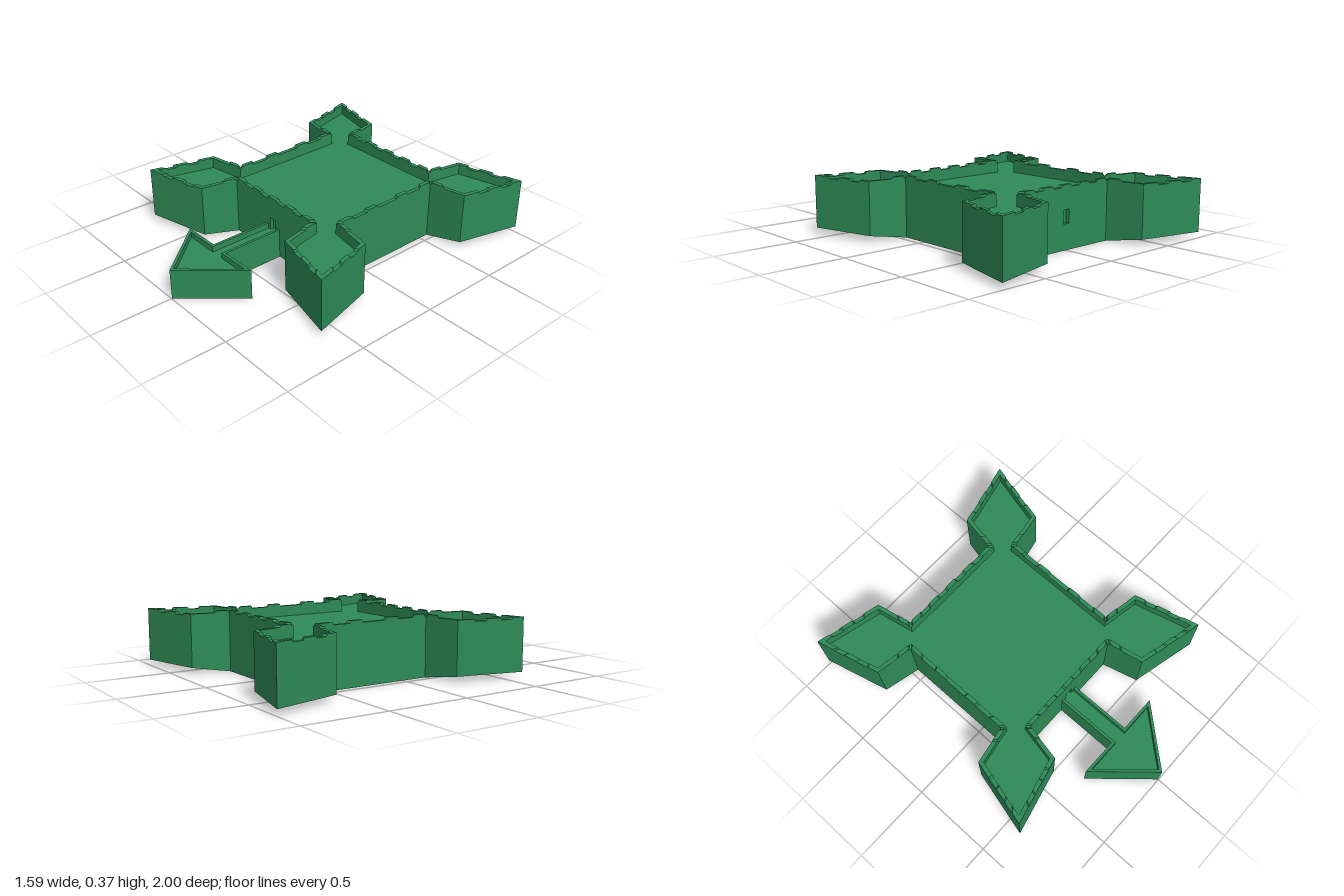
import * as THREE from 'three';

const material = new THREE.MeshStandardMaterial({ color: 0x2e8b57, flatShading: true });
const FORT_Z = -0.2, WALL_TOP = 0.355, FLOOR = 0.29, THICK = 0.025, LIFT = 0.037;

function add(group, name, geometry) {
  const mesh = new THREE.Mesh(geometry, material);
  mesh.name = name;
  group.add(mesh);
  return mesh;
}

// Moves a plan outline of [x, z] points inward with mitred corners
function inset(points, t) {
  const n = points.length;
  const normal = (a, b) => {
    const dx = b[0] - a[0], dz = b[1] - a[1], l = Math.hypot(dx, dz);
    return [-dz / l, dx / l];
  };
  return points.map((p, i) => {
    const a = normal(points[(i + n - 1) % n], p);
    const b = normal(p, points[(i + 1) % n]);
    const k = t / (1 + a[0] * b[0] + a[1] * b[1]);
    return [p[0] + (a[0] + b[0]) * k, p[1] + (a[1] + b[1]) * k];
  });
}

// Wall panel: an elevation drawn over 0..1 along the edge, bent between outer and inner lines.
// Each tooth is [centre, width, height]; a negative height makes a notch.
function wallPanel(a, b, innerA, innerB, y0, y1, top, teeth = [], door = null) {
  const s = new THREE.Shape();
  s.moveTo(0, y0);
  s.lineTo(1, y1);
  s.lineTo(1, top);
  for (const [c, w, h] of [...teeth].sort((p, q) => q[0] - p[0])) {
    s.lineTo(c + w / 2, top);
    s.lineTo(c + w * 0.4, top + h);
    s.lineTo(c - w * 0.4, top + h);
    s.lineTo(c - w / 2, top);
  }
  s.lineTo(0, top);
  if (door) {
    const [w, low, high] = door;
    const hole = new THREE.Path();
    hole.moveTo(0.5 - w / 2, low);
    hole.lineTo(0.5 - w / 2, high);
    hole.lineTo(0.5 + w / 2, high);
    hole.lineTo(0.5 + w / 2, low);
    s.holes.push(hole);
  }
  const g = new THREE.ExtrudeGeometry(s, { depth: 1, bevelEnabled: false });
  const p = g.attributes.position;
  const mix = THREE.MathUtils.lerp;
  for (let i = 0; i < p.count; i++) {
    const u = p.getX(i), d = p.getZ(i);
    p.setXYZ(i, mix(mix(a[0], b[0], u), mix(innerA[0], innerB[0], u), d), p.getY(i),
      mix(mix(a[1], b[1], u), mix(innerA[1], innerB[1], u), d));
  }
  g.computeVertexNormals();
  return g;
}

// Flat plan surface facing up or down
function slab(points, y, up) {
  const s = new THREE.Shape(points.map(([x, z]) => new THREE.Vector2(x, up ? -z : z)));
  return new THREE.ShapeGeometry(s).rotateX(up ? -Math.PI / 2 : Math.PI / 2).translate(0, y, 0);
}

function buildFort() {
  const fort = new THREE.Group();
  fort.name = 'fort';
  fort.position.z = FORT_Z;

  // Star outline: one bastion, mirrored and then turned half round
  const bastion = [[0.46, 0.36], [0.69, 0.4], [0.793, 0.803], [0.385, 0.705], [0.34, 0.48]];
  const half = [...bastion, ...bastion.map(([x, z]) => [-x, z]).reverse()];
  const outer = [...half, ...half.map(([x, z]) => [-x, -z])];
  const inner = inset(outer, THICK);
  const n = outer.length;
  const baseY = (i) => (i % 5 === 0 || i % 5 === 4 ? 0 : LIFT);

  // Tooth patterns for the different walls
  const frontTeeth = [-0.29, -0.145, 0, 0.145, 0.29].map((x) => [0.5 + x / 0.68, 0.085 / 0.68, 0.014]);
  const sideTeeth = [-0.118, 0.118, -0.31, 0.31].map((x) => [0.5 + x / 0.72, 0.092 / 0.72, 0.014]);
  const faceTeeth = [[0.26, 0.2, -0.012], [0.65, 0.2, -0.012]];
  const door = [0.046 / 0.68, 0.15, 0.23];

  for (let i = 0; i < n; i++) {
    const j = (i + 1) % n, k = i % 10;
    let name = 'bastionFlank', teeth = [[k % 5 === 0 ? 0.22 : 0.78, 0.36, 0.011]];
    if (k === 4) [name, teeth] = ['gateCurtainWall', frontTeeth];
    else if (k === 9) [name, teeth] = ['sideCurtainWall', sideTeeth];
    else if (k % 5 === 1 || k % 5 === 2) [name, teeth] = ['bastionFace', faceTeeth];
    add(fort, name, wallPanel(outer[i], outer[j], inner[i], inner[j],
      baseY(i), baseY(j), WALL_TOP, teeth, k === 4 ? door : null));
  }
  add(fort, 'courtyardFloor', slab(inner, FLOOR, true));

  // Solid block closing each gateway inside the wall
  for (const side of [1, -1]) {
    const block = add(fort, 'gateBack', new THREE.BoxGeometry(0.12, 0.12, 0.04));
    block.position.set(0, 0.19, side * (0.48 - THICK - 0.02));
  }

  // Underside: flat centre with folded slopes rising below the bastions
  const tri = [];
  const put = (...ids) => ids.forEach((i) => tri.push(outer[i][0], baseY(i), outer[i][1]));
  for (let b = 0; b < n; b += 5) {
    // the inner corner nearest the tip path shares the fold line
    put(b, b + 1, b + 2);
    put(b, b + 2, b + 4);
    put(b + 2, b + 3, b + 4);
  }
  const necks = [0, 4, 5, 9, 10, 14, 15, 19];
  for (let i = 1; i < necks.length - 1; i++) put(necks[0], necks[i], necks[i + 1]);
  const under = new THREE.BufferGeometry();
  under.setAttribute('position', new THREE.Float32BufferAttribute(tri, 3));
  under.computeVertexNormals();
  add(fort, 'underside', under);
  return fort;
}

// Arrow-shaped outwork with a walled causeway to the gate
function buildOutwork() {
  const outwork = new THREE.Group();
  outwork.name = 'outwork';
  const outer = [[0.06, 0.26], [0.06, 0.665], [0.292, 0.665], [0, 0.997],
    [-0.292, 0.665], [-0.06, 0.665], [-0.06, 0.26]];
  const inner = inset(outer, 0.017);
  for (let i = 0; i < outer.length - 1; i++) {
    add(outwork, 'outworkWall', wallPanel(outer[i], outer[i + 1], inner[i], inner[i + 1], 0, 0, 0.185));
  }
  add(outwork, 'outworkFloor', slab(inner, 0.15, true));
  add(outwork, 'outworkUnderside', slab(outer, 0, false));
  return outwork;
}

export function createModel() {
  const model = new THREE.Group();
  model.name = 'starFort';
  model.add(buildFort(), buildOutwork());
  return model;
}
